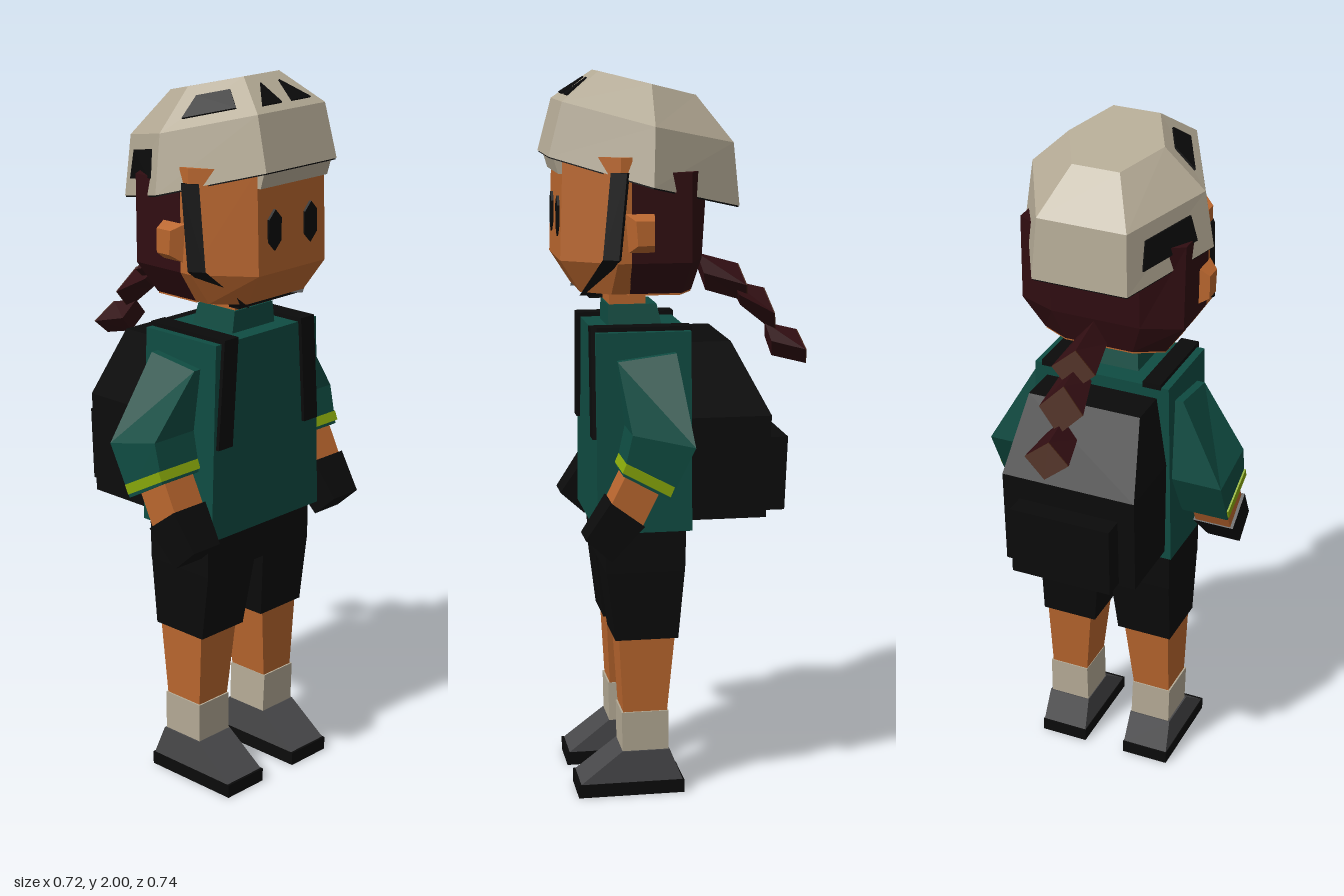
import * as THREE from 'three';

const mat = (name, color) => Object.assign(new THREE.MeshStandardMaterial({ color }), { name });

// Flat-faced skin over a stack of cross-sections; winding is turned outward automatically
function loft(rings, capStart = true, capEnd = true) {
  const R = rings.map(r => r.map(p => new THREE.Vector3(...p)));
  const n = R[0].length, tris = [];
  for (let i = 0; i < R.length - 1; i++) {
    for (let j = 0; j < n; j++) {
      const k = (j + 1) % n, a = R[i][j], b = R[i][k], c = R[i + 1][k], d = R[i + 1][j];
      tris.push([a, b, c], [a, c, d]);
    }
  }
  const last = R[R.length - 1];
  for (let j = 1; j < n - 1; j++) {
    if (capStart) tris.push([R[0][0], R[0][j + 1], R[0][j]]);
    if (capEnd) tris.push([last[0], last[j], last[j + 1]]);
  }
  const mid = new THREE.Vector3();
  R.flat().forEach(p => mid.add(p));
  mid.divideScalar(R.length * n);
  let out = 0;
  for (const [a, b, c] of tris) {
    const nrm = b.clone().sub(a).cross(c.clone().sub(a));
    out += nrm.dot(a.clone().add(b).add(c).divideScalar(3).sub(mid));
  }
  const pts = tris.flatMap(([a, b, c]) => (out < 0 ? [a, c, b] : [a, b, c]));
  const g = new THREE.BufferGeometry().setFromPoints(pts);
  g.computeVertexNormals();
  return g;
}

// Horizontal rectangle section
const rect = (y, x0, x1, z0, z1) => [[x0, y, z0], [x1, y, z0], [x1, y, z1], [x0, y, z1]];
// Sloping arm section: inner and outer x, then z and y of its front and back edges
const slant = (x0, x1, zf, yf, zb, yb) => [[x0, yf, zf], [x1, yf, zf], [x1, yb, zb], [x0, yb, zb]];
// Hexagon section of the helmet: [front x, y, z], [side x, y, z], [back x, y, z]
const hex = (f, s, b) => [f, s, b, ...[b, s, f].map(([x, y, z]) => [-x, y, z])];
const flip = (rings, s) => rings.map(r => r.map(([x, y, z]) => [x * s, y, z]));

export function createModel() {
  const skin = mat('skin', 0xb9662e), shell = mat('pale beige', 0xb4aa95), teal = mat('teal', 0x0f4c42);
  const black = mat('black', 0x0b0b0b), hair = mat('dark red hair', 0x300d11), brown = mat('braid brown', 0x45210f);
  const lime = mat('lime', 0x88a80a), grey = mat('shoe grey', 0x474749);
  const root = new THREE.Group();
  const add = (name, geo, material, parent = root) => {
    const m = new THREE.Mesh(geo, material);
    m.name = name;
    parent.add(m);
    return m;
  };
  const group = name => {
    const g = new THREE.Group();
    g.name = name;
    root.add(g);
    return g;
  };

  // Shirt, collar, neck and hips
  add('shirt', loft([rect(0.76, -0.216, 0.216, -0.005, 0.257), rect(1.31, -0.2, 0.2, -0.005, 0.255)]), teal);
  add('collar', loft([rect(1.3, -0.085, 0.085, 0.055, 0.205), rect(1.37, -0.075, 0.075, 0.07, 0.205)]), teal);
  add('neck', loft([rect(1.34, -0.068, 0.068, 0.1, 0.2), rect(1.43, -0.068, 0.068, 0.1, 0.2)]), skin);
  add('hips', loft([rect(0.645, -0.205, 0.205, 0.013, 0.232), rect(0.765, -0.205, 0.205, 0.01, 0.232)]), black);

  // Arms, legs and straps, mirrored
  for (const s of [1, -1]) {
    const side = s > 0 ? 'left' : 'right';
    const arm = group(side + 'Arm'), leg = group(side + 'Leg');
    const part = (name, rings, m, parent) => add(name, loft(flip(rings, s)), m, parent);
    part('sleeve', [
      slant(0.18, 0.225, 0.2, 1.235, 0.04, 1.255),
      slant(0.19, 0.355, 0.18, 1.06, 0.01, 1.02),
      slant(0.215, 0.352, 0.205, 0.95, 0.08, 0.88),
    ], teal, arm);
    part('cuffStripe', [
      slant(0.208, 0.358, 0.197, 0.985, 0.068, 0.916),
      slant(0.211, 0.357, 0.208, 0.96, 0.079, 0.89),
    ], lime, arm);
    part('forearm', [
      slant(0.228, 0.335, 0.19, 0.96, 0.1, 0.91),
      slant(0.228, 0.335, 0.24, 0.86, 0.155, 0.8),
    ], skin, arm);
    part('glove', [
      slant(0.222, 0.344, 0.238, 0.876, 0.147, 0.808),
      slant(0.235, 0.335, 0.305, 0.775, 0.235, 0.712),
    ], black, arm);

    part('shortsLeg', [rect(0.452, 0.038, 0.203, 0.032, 0.208), rect(0.65, 0.018, 0.204, 0.013, 0.232)], black, leg);
    part('shin', [rect(0.235, 0.078, 0.19, 0.062, 0.185), rect(0.46, 0.055, 0.195, 0.04, 0.197)], skin, leg);
    part('sock', [rect(0.115, 0.072, 0.193, 0.058, 0.188), rect(0.24, 0.076, 0.195, 0.058, 0.19)], shell, leg);
    part('shoe', [rect(0.035, 0.065, 0.203, 0.018, 0.31), rect(0.127, 0.07, 0.198, 0.055, 0.19)], grey, leg);
    part('sole', [rect(0, 0.063, 0.205, 0.015, 0.313), rect(0.038, 0.063, 0.205, 0.015, 0.313)], black, leg);

    part('frontStrap', [rect(1.02, 0.145, 0.2, 0.25, 0.266), rect(1.322, 0.125, 0.178, 0.25, 0.266)], black, root);
    part('shoulderStrap', [rect(1.305, 0.125, 0.178, -0.01, 0.266), rect(1.322, 0.125, 0.178, -0.01, 0.266)], black, root);
  }

  // Backpack with a lower pocket
  const pack = group('backpack');
  add('packBody', loft([
    rect(0.785, -0.197, 0.197, -0.215, -0.004),
    rect(1.07, -0.197, 0.197, -0.23, -0.004),
    rect(1.275, -0.165, 0.165, -0.12, -0.004),
  ]), black, pack);
  add('packPocket', loft([rect(0.793, -0.148, 0.148, -0.278, -0.2), rect(1.0, -0.148, 0.148, -0.287, -0.2)]), black, pack);

  // Head: skin in front, hair behind, with a tapered jaw
  const head = group('head');
  const face = (y, xf, zf, xs, zs) =>
    [[-xf, y, zf], [xf, y, zf], [xs, y, zs], [xs, y, 0.16], [-xs, y, 0.16], [-xs, y, zs]];
  const back = (y, xs, zs, xb, zb) =>
    [[xs, y, 0.162], [xs, y, zs], [xb, y, zb], [-xb, y, zb], [-xs, y, zs], [-xs, y, 0.162]];
  add('face', loft([face(1.412, 0.11, 0.285, 0.18, 0.21), face(1.5, 0.13, 0.341, 0.238, 0.2),
    face(1.78, 0.13, 0.332, 0.238, 0.19)]), skin, head);
  add('hair', loft([back(1.412, 0.18, 0.02, 0.1, -0.022), back(1.5, 0.238, 0, 0.13, -0.045),
    back(1.74, 0.24, 0, 0.13, -0.06)]), hair, head);
  add('headUnderside', loft([back(1.407, 0.178, 0.022, 0.1, -0.02), back(1.413, 0.178, 0.022, 0.1, -0.02)]), skin, head);
  for (const s of [1, -1]) {
    add('ear', loft(flip([
      [[0.225, 1.52, 0.1], [0.225, 1.52, 0.18], [0.225, 1.64, 0.19], [0.225, 1.64, 0.1]],
      [[0.268, 1.55, 0.105], [0.268, 1.55, 0.15], [0.268, 1.615, 0.155], [0.268, 1.615, 0.105]],
    ], s)), skin, head);
    const eye = [[0, -0.055], [0.024, -0.03], [0.024, 0.03], [0, 0.055], [-0.024, 0.03], [-0.024, -0.03]];
    add('eye', loft([0.334, 0.343].map(z => eye.map(([x, y]) => [s * 0.07 + x, 1.615 + y, z]))), black, head);
    // Chin strap running down the cheek
    const band = (x, y, z) => [[x + 0.012, y, z - 0.024], [x - 0.014, y, z + 0.016], [x - 0.035, y, z - 0.01], [x - 0.01, y, z - 0.04]];
    add('chinStrap', loft(flip([band(0.238, 1.74, 0.2), band(0.236, 1.51, 0.222), band(0.12, 1.402, 0.27)], s)), black, head);
  }
  add('chinStrapBottom', loft([rect(1.396, -0.12, 0.12, 0.225, 0.262), rect(1.408, -0.12, 0.12, 0.225, 0.262)]), black, head);

  // Braid of three flared diamond segments with brown ends: [z, y] of top and bottom corners
  const braid = group('braid');
  const diamond = (w, [zt, yt], [zb, yb]) => {
    const z = (zt + zb) / 2, y = (yt + yb) / 2;
    return [[0, yt, zt], [w, y, z], [0, yb, zb], [-w, y, z]];
  };
  for (const [a, b, c, d] of [
    [[-0.055, 1.5], [-0.08, 1.395], [-0.17, 1.468], [-0.197, 1.36]],
    [[-0.155, 1.42], [-0.18, 1.35], [-0.245, 1.398], [-0.28, 1.27]],
    [[-0.25, 1.3], [-0.27, 1.205], [-0.34, 1.278], [-0.368, 1.18]],
  ]) {
    const start = diamond(0.045, a, b), end = diamond(0.064, c, d);
    add('braidSegment', loft([start, end], true, false), hair, braid);
    add('braidEnd', loft([end, end.map(([x, y, z]) => [x, y, z - 0.003])]), brown, braid);
  }

  // Helmet: three tilted hexagons, open below, with a dark lining
  const helmet = group('helmet');
  const low = hex([0.137, 1.778, 0.37], [0.275, 1.703, 0.108], [0.137, 1.64, -0.148]);
  const mid = hex([0.13, 1.922, 0.332], [0.25, 1.86, 0.1], [0.128, 1.81, -0.133]);
  const top = hex([0.068, 2, 0.225], [0.137, 1.967, 0.092], [0.068, 1.935, -0.04]);
  add('helmetShell', loft([low, mid, top], false, true), shell, helmet);
  const lining = dy => low.map(([x, y, z]) => [x * 0.99, y + dy, 0.11 + (z - 0.11) * 0.99]);
  add('helmetLining', loft([lining(-0.004), lining(0.004)]), black, helmet);
  add('browPad', loft([rect(1.732, -0.13, 0.13, 0.31, 0.344), rect(1.785, -0.13, 0.13, 0.31, 0.36)]), shell, helmet);

  // Vents: thin plates laid on a panel, placed by its (u along, v down) coordinates
  const vent = (upper, lower, i, j, uv) => {
    const v = a => new THREE.Vector3(...a);
    const [a, b, c, d] = [upper[i], upper[j], lower[i], lower[j]].map(v);
    const n = b.clone().sub(a).cross(c.clone().sub(a)).normalize();
    if (n.dot(a.clone().sub(v([0, 1.75, 0.1]))) < 0) n.negate();
    const pts = uv.map(([s, t]) => a.clone().lerp(b, s).lerp(c.clone().lerp(d, s), t));
    add('vent', loft([-0.004, 0.005].map(h => pts.map(p => p.clone().addScaledVector(n, h).toArray()))), black, helmet);
  };
  vent(top, mid, 0, 5, [[0.11, 0.82], [0.29, 0.25], [0.42, 0.82]]);
  vent(top, mid, 0, 5, [[0.89, 0.82], [0.71, 0.25], [0.58, 0.82]]);
  vent(top, mid, 4, 5, [[0.25, 0.28], [0.18, 0.76], [0.8, 0.76], [0.75, 0.28]]);
  vent(mid, low, 3, 4, [[0.22, 0.25], [0.78, 0.25], [0.82, 0.72], [0.18, 0.72]]);
  return root;
}
